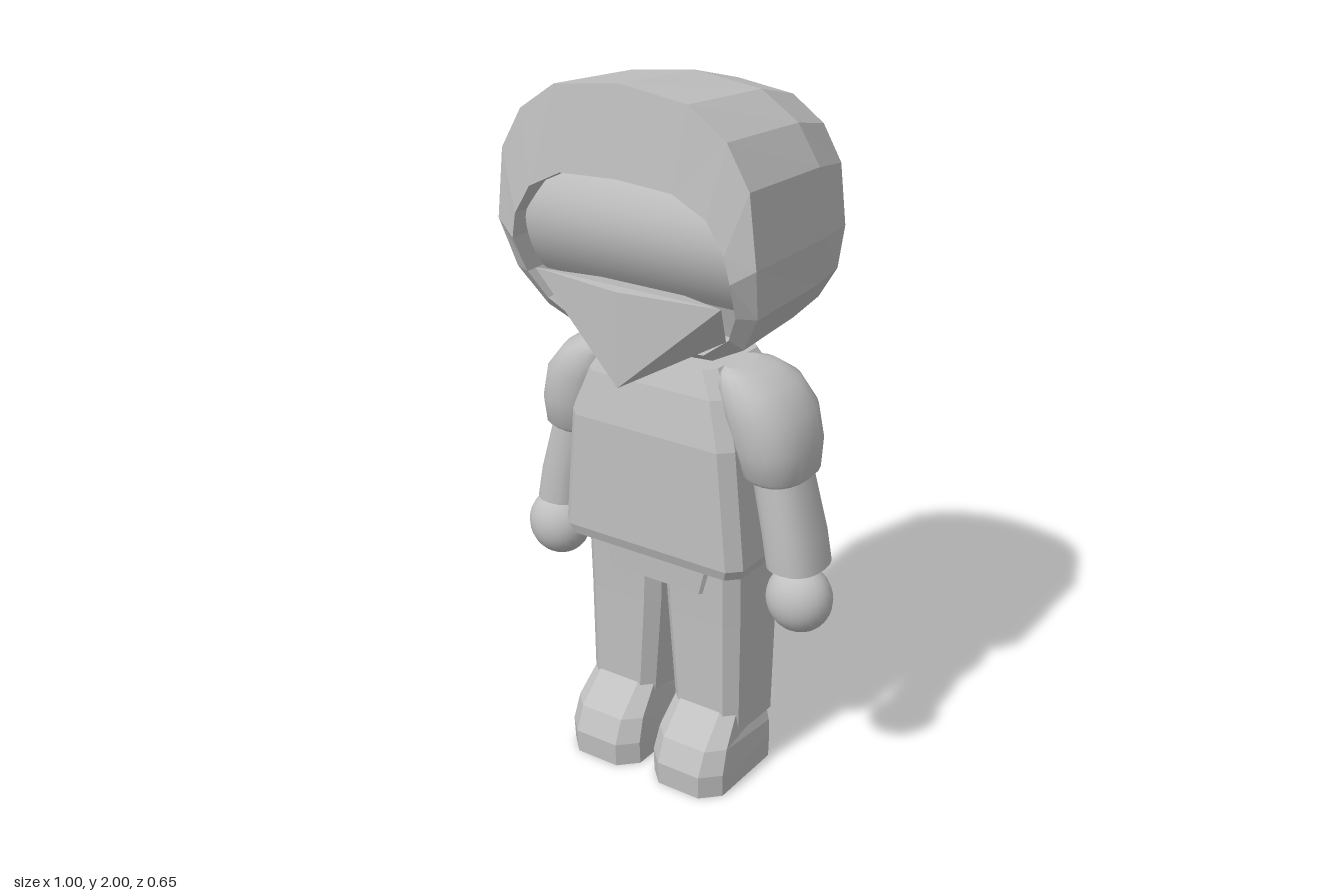
import * as THREE from 'three';
import { ConvexGeometry } from 'three/addons/geometries/ConvexGeometry.js';

const grey = new THREE.MeshStandardMaterial({ color: 0xc0c0c0 });
grey.name = 'plainGrey';

const V = (x, y, z) => new THREE.Vector3(x, y, z);

// Joins rings of equal length into a closed solid, faceted or smooth
function loft(rings, smooth = false) {
  const n = rings[0].length, pts = rings.flat(), idx = [];
  for (let r = 0; r < rings.length - 1; r++) {
    for (let i = 0; i < n; i++) {
      const a = r * n + i, b = r * n + (i + 1) % n;
      idx.push(a, b, a + n, b, b + n, a + n);
    }
  }
  // End caps get their own vertices so their edges stay sharp
  for (const [ring, first] of [[rings[0], true], [rings[rings.length - 1], false]]) {
    const base = pts.length;
    pts.push(...ring);
    const c = ring.reduce((s, p) => s.add(p), V(0, 0, 0)).divideScalar(n);
    pts.push(c);
    for (let i = 0; i < n; i++) {
      const a = base + i, b = base + (i + 1) % n;
      idx.push(...(first ? [base + n, b, a] : [base + n, a, b]));
    }
  }
  // Turn the faces outwards
  let volume = 0;
  for (let i = 0; i < idx.length; i += 3) {
    volume += pts[idx[i]].dot(V(0, 0, 0).crossVectors(pts[idx[i + 1]], pts[idx[i + 2]]));
  }
  if (volume < 0) idx.reverse();
  let geo = new THREE.BufferGeometry().setFromPoints(pts);
  geo.setIndex(idx);
  if (!smooth) geo = geo.toNonIndexed();
  geo.computeVertexNormals();
  return geo;
}

// Level rectangle with cut corners
function cutRect(y, x0, x1, z0, z1, c, s = 1, yFront = y) {
  const p = [[x0 + c, z0], [x1 - c, z0], [x1, z0 + c], [x1, z1 - c],
    [x1 - c, z1], [x0 + c, z1], [x0, z1 - c], [x0, z0 + c]];
  return p.map(([x, z]) => V(s * x, z > (z0 + z1) / 2 ? yFront : y, z));
}

// Level rounded loop, slightly squarer than an ellipse
function oval(y, x0, x1, z0, z1, s = 1) {
  const pts = [], soft = (t) => Math.sign(t) * Math.pow(Math.abs(t), 0.85);
  for (let i = 0; i < 20; i++) {
    const a = (i / 20) * Math.PI * 2;
    pts.push(V(s * ((x0 + x1) / 2 + soft(Math.cos(a)) * (x1 - x0) / 2), y,
      (z0 + z1) / 2 + soft(Math.sin(a)) * (z1 - z0) / 2));
  }
  return pts;
}

// Completes a right-hand profile, top to bottom, into a symmetric loop
const mirrorLoop = (half) => [...half, ...half.slice(1, -1).reverse().map(([x, y]) => [-x, y])];

export function createModel() {
  const model = new THREE.Group();
  const add = (name, geo, parent = model) => {
    const mesh = new THREE.Mesh(geo, grey);
    mesh.name = name;
    parent.add(mesh);
    return mesh;
  };

  // Helmet shell: loops from the back cap to the face opening and inwards
  const shell = mirrorLoop([[0, 2], [0.2, 1.975], [0.31, 1.9], [0.375, 1.79], [0.397, 1.6],
    [0.375, 1.46], [0.31, 1.355], [0.2, 1.295], [0, 1.28]]);
  const opening = mirrorLoop([[0, 1.77], [0.17, 1.76], [0.27, 1.71], [0.32, 1.63], [0.335, 1.56],
    [0.325, 1.46], [0.285, 1.385], [0.19, 1.315], [0, 1.3]]);
  const section = (z, w, top, bottom) => shell.map(([x, y]) =>
    V(x * w / 0.397, bottom + (top - bottom) * (y - 1.28) / 0.72, z));
  const slant = (z, y, k) => z - Math.max(0, 1.57 - y) * k;
  add('helmet', loft([
    section(-0.325, 0.2, 1.82, 1.39),
    section(-0.23, 0.34, 1.92, 1.295),
    section(-0.03, 0.395, 1.975, 1.3),
    shell.map(([x, y]) => V(x, y, slant(0.297, y, 0.4))),
    opening.map(([x, y]) => V(x, y, slant(0.322, y, 0.43))),
    opening.map(([x, y]) => V(x, y, slant(0.17, y, 0.43))),
  ]));

  // Curved visor inside the opening
  const visor = new THREE.PlaneGeometry(0.65, 0.34, 1, 12);
  const vp = visor.attributes.position;
  for (let i = 0; i < vp.count; i++) {
    const y = vp.getY(i);
    vp.setXYZ(i, vp.getX(i), y + 1.62, 0.275 - 2.6 * y * y);
  }
  visor.computeVertexNormals();
  add('visor', visor);

  // Folded face scarf, pointed at the bottom
  add('faceScarf', new ConvexGeometry([V(-0.29, 1.48, 0.285), V(0, 1.48, 0.325), V(0.29, 1.48, 0.285),
    V(0, 1.22, 0.325), V(-0.25, 1.36, 0.2), V(0.25, 1.36, 0.2), V(0, 1.45, 0.15)]));

  // Neck
  const neck = new THREE.CylinderGeometry(0.085, 0.085, 0.16, 8).toNonIndexed();
  neck.computeVertexNormals();
  neck.translate(0, 1.27, 0.035);
  add('neck', neck);

  // Jacket body with its longer back hem
  add('jacket', loft([
    cutRect(0.68, -0.285, 0.285, -0.122, 0.2, 0.035),
    cutRect(0.71, -0.295, 0.295, -0.13, 0.21, 0.035),
    cutRect(1.05, -0.265, 0.265, -0.13, 0.21, 0.035),
    cutRect(1.18, -0.225, 0.225, -0.115, 0.185, 0.035),
    cutRect(1.25, -0.18, 0.18, -0.09, 0.16, 0.03),
  ]));
  add('backHem', loft([
    cutRect(0.59, -0.17, 0.17, -0.128, -0.1, 0.008),
    cutRect(0.72, -0.2, 0.2, -0.128, -0.1, 0.008),
  ]));

  // Hips
  add('hips', loft([
    cutRect(0.59, -0.155, 0.155, -0.095, 0.165, 0.01),
    cutRect(0.7, -0.185, 0.185, -0.1, 0.17, 0.01),
  ]));

  for (const [side, s] of [['left', 1], ['right', -1]]) {
    // Trouser leg
    const leg = new THREE.Group();
    leg.name = side + 'Leg';
    model.add(leg);
    add('trouserLeg', loft([
      cutRect(0.15, 0.04, 0.25, -0.085, 0.15, 0.032, s),
      cutRect(0.5, 0.012, 0.253, -0.1, 0.155, 0.035, s),
      cutRect(0.7, 0.002, 0.255, -0.105, 0.16, 0.035, s),
    ]), leg);

    // Shoe
    add('shoe', loft([
      cutRect(0, 0.025, 0.26, -0.08, 0.262, 0.05, s),
      cutRect(0.07, 0.025, 0.262, -0.08, 0.265, 0.05, s),
      cutRect(0.12, 0.03, 0.258, -0.078, 0.235, 0.045, s, 0.14),
      cutRect(0.165, 0.04, 0.243, -0.075, 0.15, 0.035, s, 0.225),
    ]), leg);

    // Puffed sleeve, forearm and round hand
    const arm = new THREE.Group();
    arm.name = side + 'Arm';
    model.add(arm);
    add('sleeve', loft([
      oval(0.945, 0.255, 0.395, -0.045, 0.13, s),
      oval(0.97, 0.235, 0.418, -0.075, 0.16, s),
      oval(1.05, 0.21, 0.42, -0.095, 0.18, s),
      oval(1.14, 0.18, 0.4, -0.1, 0.185, s),
      oval(1.21, 0.16, 0.345, -0.085, 0.17, s),
      oval(1.24, 0.16, 0.28, -0.055, 0.14, s),
      oval(1.25, 0.17, 0.23, -0.02, 0.11, s),
    ], true), arm);
    add('forearm', loft([
      oval(0.71, 0.31, 0.468, -0.052, 0.142, s),
      oval(0.8, 0.295, 0.45, -0.055, 0.143, s),
      oval(0.98, 0.255, 0.4, -0.05, 0.135, s),
    ], true), arm);
    const hand = add('hand', new THREE.SphereGeometry(1, 24, 16), arm);
    hand.scale.set(0.094, 0.097, 0.083);
    hand.position.set(s * 0.408, 0.62, 0.07);
  }
  return model;
}
